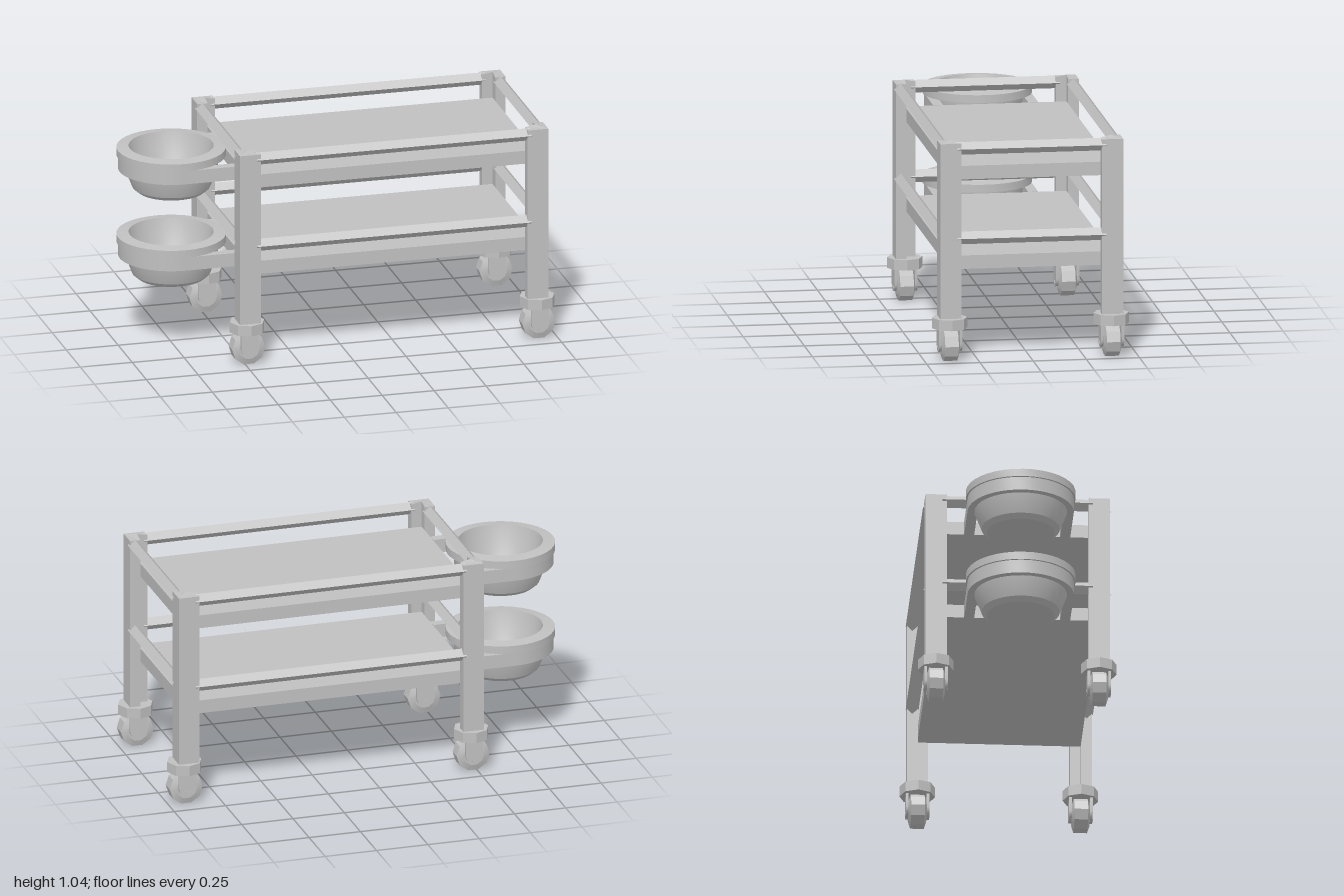
import * as THREE from 'three';
import { toCreasedNormals } from 'three/addons/utils/BufferGeometryUtils.js';

const metal = new THREE.MeshStandardMaterial({ color: 0xc0c0c0 });
metal.name = 'grey metal';

const XL = -0.48, XR = 0.905, Z = 0.38;   // post centres
const MID = (XL + XR) / 2;
const LEVELS = [0.43, 0.855];             // undersides of the two shelves

function add(parent, name, geo, x = 0, y = 0, z = 0, crease = 0.5) {
  const mesh = new THREE.Mesh(toCreasedNormals(geo, crease), metal);
  mesh.name = name;
  mesh.position.set(x, y, z);
  parent.add(mesh);
  return mesh;
}

const points = (list) => list.map(([x, y]) => new THREE.Vector2(x, y));

// Angle-section post, outer corner at -x +z, top rising to its inner corner
function postGeometry() {
  const w = 0.05, h = 0.835;
  const shape = new THREE.Shape(points([[-w, -w], [w, -w], [w, 0], [0, 0], [0, w], [-w, w]]));
  const geo = new THREE.ExtrudeGeometry(shape, { depth: h, bevelEnabled: false });
  geo.rotateX(-Math.PI / 2);
  const p = geo.attributes.position;
  for (let i = 0; i < p.count; i++) {
    if (p.getY(i) > h - 0.01 && Math.hypot(p.getX(i), p.getZ(i)) < 0.01) p.setY(i, h + 0.01);
  }
  return geo;
}

// Square bar standing on its edge
function railGeometry(length, alongX) {
  const geo = new THREE.CylinderGeometry(0.03, 0.03, length, 4);
  return alongX ? geo.rotateZ(Math.PI / 2) : geo.rotateX(Math.PI / 2);
}

// Collar, two round-ended fork plates, bevelled wheel and axle
function caster() {
  const g = new THREE.Group();
  g.name = 'caster';
  add(g, 'collar', new THREE.CylinderGeometry(0.083, 0.083, 0.05, 8), 0, 0.18, 0);

  const plate = new THREE.Shape();
  plate.moveTo(0.042, 0.157);
  plate.lineTo(-0.042, 0.157);
  plate.lineTo(-0.042, 0.085);
  plate.absarc(0, 0.085, 0.042, Math.PI, Math.PI * 2, false);
  for (const z of [-0.055, 0.042]) {
    add(g, 'forkPlate', new THREE.ExtrudeGeometry(plate, { depth: 0.013, bevelEnabled: false, curveSegments: 5 }), 0, 0, z);
  }
  const wheel = new THREE.LatheGeometry(points([
    [0, -0.042], [0.05, -0.042], [0.08, -0.032], [0.08, 0.032], [0.05, 0.042], [0, 0.042],
  ]), 10);
  add(g, 'wheel', wheel.rotateX(Math.PI / 2).rotateZ(Math.PI / 10), 0, 0.079, 0, 0.3);
  add(g, 'axle', new THREE.CylinderGeometry(0.012, 0.012, 0.114, 8).rotateX(Math.PI / 2), 0, 0.06, 0);
  return g;
}

// Bowl resting in a U-shaped bracket fixed to the end of a shelf
function bowlHolder() {
  const g = new THREE.Group();
  g.name = 'bowlHolder';
  const reach = 0.265;
  const u = new THREE.Shape();
  u.moveTo(reach, 0.247);
  u.lineTo(0, 0.247);
  u.absarc(0, 0, 0.247, Math.PI / 2, Math.PI * 1.5, false);
  u.lineTo(reach, -0.247);
  u.lineTo(reach, -0.2);
  u.lineTo(0, -0.2);
  u.absarc(0, 0, 0.2, Math.PI * 1.5, Math.PI / 2, true);
  u.lineTo(reach, 0.2);
  const bracket = new THREE.ExtrudeGeometry(u, { depth: 0.065, bevelEnabled: false, curveSegments: 20 });
  add(g, 'bracket', bracket.rotateX(-Math.PI / 2));

  const bowl = new THREE.LatheGeometry(points([
    [0, -0.108], [0.158, -0.108], [0.182, -0.088], [0.216, 0], [0.222, 0.062], [0.255, 0.066],
    [0.255, 0.103], [0.198, 0.11], [0.178, 0.02], [0.134, -0.085], [0, -0.085],
  ]), 36);
  add(g, 'bowl', bowl, 0, 0, 0, 0.45);
  return g;
}

export function createModel() {
  const model = new THREE.Group();
  model.name = 'trolley';

  // Posts and casters at the four corners
  const corners = [[XL, Z], [XR, Z], [XR, -Z], [XL, -Z]];
  corners.forEach(([x, z], i) => {
    add(model, 'post', postGeometry(), x, 0.2, z).rotation.y = i * Math.PI / 2;
    const c = caster();
    c.position.set(x + (x < 0 ? -0.003 : 0.009), 0, z);
    model.add(c);
  });

  for (const y of LEVELS) {
    // Shelf with a guard rail on each side
    add(model, 'shelf', new THREE.BoxGeometry(XR - XL, 0.064, Z * 2), MID, y + 0.032, 0);
    const railY = y + 0.153;
    for (const s of [-1, 1]) {
      add(model, 'sideRail', railGeometry(1.32, true), MID, railY, s * 0.406);
      add(model, 'endRail', railGeometry(0.7, false), MID + s * 0.718, railY, 0);
    }
    // Bowl at the end of the shelf
    const holder = bowlHolder();
    holder.position.set(-0.745, y, 0);
    model.add(holder);
  }
  return model;
}
